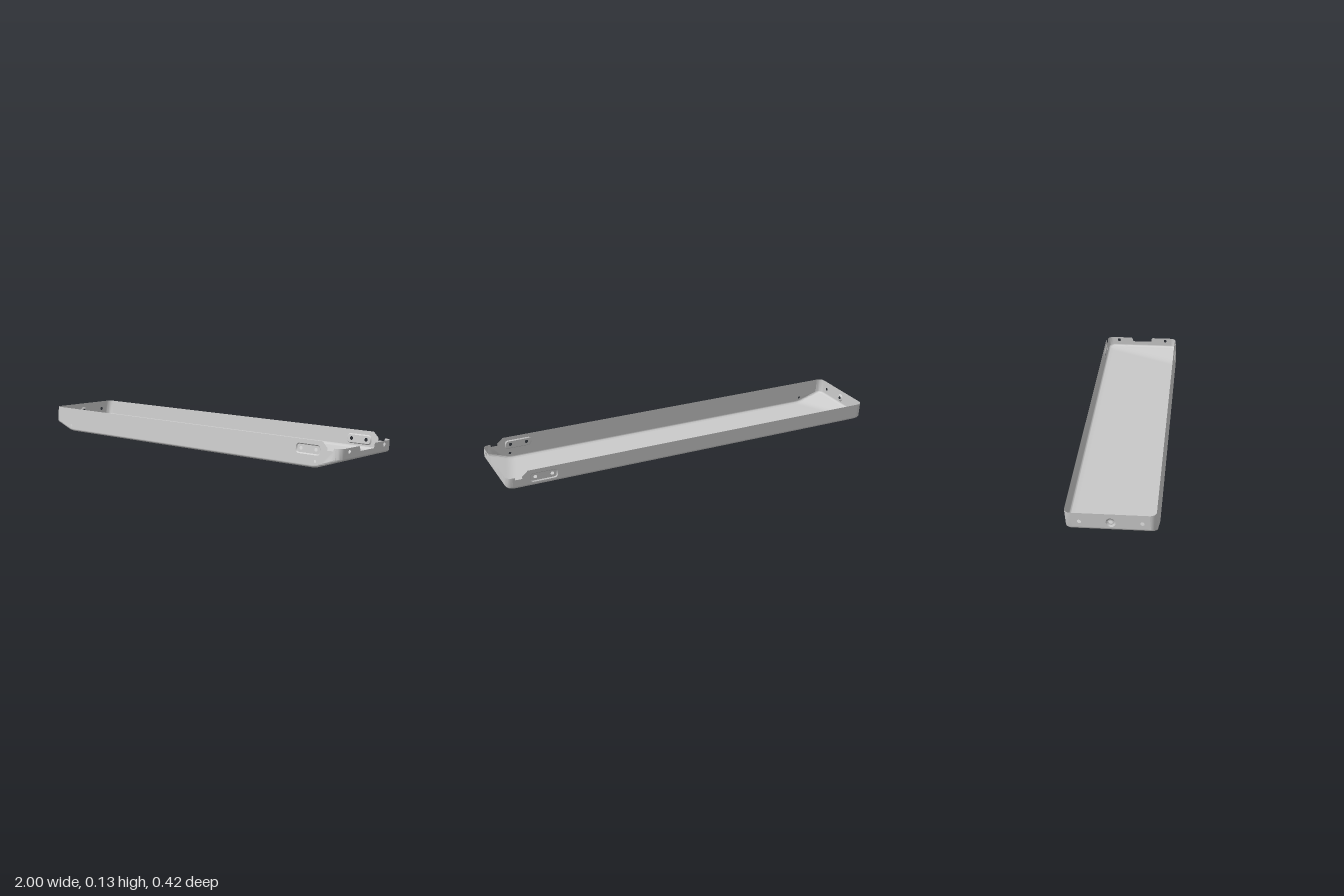
import * as THREE from 'three';
import { mergeGeometries, toCreasedNormals } from 'three/addons/utils/BufferGeometryUtils.js';

const L = 1, W = 0.205;        // half length, half width
const R = 0.03, F = 0.012;     // plan corner radius, bottom fillet radius
const TOP = 0.126, LOW = 0.1;  // rim height, lowered rim at the notched end
const ARC = 6;

const material = new THREE.MeshStandardMaterial({ color: 0xcccccc, side: THREE.DoubleSide });

// The whole tray leans backwards
const lean = ([x, y, z]) => [x, y, z + 0.095 * (0.07 - y)];

// Floor height: sloping bottom blended with the end ramps
function floorY(x, z) {
  const a = 0.1 * (W - F - z), b = 0.34 * (Math.abs(x) - 0.86), k = 0.008;
  const h = Math.max(k - Math.abs(a - b), 0) / k;
  return Math.max(a, b) + h * h * k / 4;
}

// Surface through rows of points
function loft(rows) {
  const n = rows[0].length, index = [];
  for (let i = 0; i < rows.length - 1; i++)
    for (let j = 0; j < n - 1; j++) {
      const a = i * n + j, b = a + n;
      index.push(a, b, a + 1, b, b + 1, a + 1);
    }
  const g = new THREE.BufferGeometry();
  g.setAttribute('position', new THREE.Float32BufferAttribute(rows.flat(2), 3));
  g.setIndex(index);
  return g;
}

// Regular polygon, optionally stretched into a rounded rectangle
function ngon(cx, cy, r, n = 20, ex = 0, ey = 0) {
  return Array.from({ length: n }, (_, i) => {
    const a = (i + 0.5) / n * Math.PI * 2, c = Math.cos(a), s = Math.sin(a);
    return new THREE.Vector2(cx + r * c + Math.sign(c) * ex, cy + r * s + Math.sign(s) * ey);
  });
}

// Flat sheet with holes, put in place by a mapping (a, b, depth) -> [x, y, z]
function sheet(points, holes, map, depth = 0) {
  const shape = new THREE.Shape(points);
  shape.holes = holes.map(h => new THREE.Path(h));
  const g = new THREE.ShapeGeometry(shape), p = g.attributes.position;
  for (let i = 0; i < p.count; i++) p.setXYZ(i, ...lean(map(p.getX(i), p.getY(i), depth)));
  g.deleteAttribute('uv');
  g.deleteAttribute('normal');
  return g;
}

// Recess pressed into a wall: sloped rim plus a pierced bottom
function recess(outer, inner, holes, map, depth) {
  const ring = (pts, d) => [...pts, pts[0]].map(p => lean(map(p.x, p.y, d)));
  return mergeGeometries([
    loft([ring(outer, 0), ring(inner, depth)]),
    sheet(inner, holes, map, depth)
  ]);
}

// Lengthwise stations, dense at the ramps
const stations = [];
for (let i = 0; i <= 16; i++) stations.push(0.82 + (L - R - 0.82) * i / 16);
const sideX = [...stations.map(x => -x).reverse(), ...stations];
const endZ = Array.from({ length: 25 }, (_, i) => (W - R) * (i / 12 - 1));

// Perimeter as corner or side centre points with an outward direction
function cornerRun(sx, sz) {
  return Array.from({ length: ARC + 1 }, (_, j) => {
    const a = j / ARC * Math.PI / 2;
    return { x: sx * (L - R), z: sz * (W - R), nx: sx * Math.sin(a), nz: sz * Math.cos(a) };
  });
}
const at = (p, inset) => [p.x + (R - inset) * p.nx, p.z + (R - inset) * p.nz];
const wallBase = p => floorY(...at(p, F)) + F;

// Quarter-round bend between floor and walls
function fillet(run) {
  return loft(Array.from({ length: 7 }, (_, k) => {
    const a = k / 6 * Math.PI / 2;
    return run.map(p => {
      const [x, z] = at(p, F * (1 - Math.sin(a)));
      return lean([x, wallBase(p) - F * Math.cos(a), z]);
    });
  }));
}

export function createModel() {
  const group = new THREE.Group();
  const add = (name, geometry) => {
    const mesh = new THREE.Mesh(toCreasedNormals(geometry, 0.6), material);
    mesh.name = name;
    group.add(mesh);
  };

  const sideRun = s => sideX.map(x => ({ x, z: s * (W - R), nx: 0, nz: s }));
  const endRun = s => endZ.map(z => ({ x: s * (L - R), z, nx: s, nz: 0 }));
  const base = [];

  // Floor, narrowing through the rounded corners
  const span = sideX.map(x => [x, W - F]);
  for (let j = 1; j <= ARC; j++) {
    const a = j / ARC * Math.PI / 2;
    const x = L - R + (R - F) * Math.sin(a), w = W - R + (R - F) * Math.cos(a);
    span.push([x, w]);
    span.unshift([-x, w]);
  }
  base.push(loft(span.map(([x, w]) => endZ.map(e => {
    const z = e / (W - R) * w;
    return lean([x, floorY(x, z), z]);
  }))));

  // Bottom bends and upright rounded corners
  for (const s of [-1, 1]) {
    base.push(fillet(sideRun(s)), fillet(endRun(s)));
    for (const t of [-1, 1]) {
      const run = cornerRun(s, t), top = s > 0 ? LOW : TOP;
      base.push(fillet(run));
      base.push(loft([wallBase, () => top].map(y => run.map(p => {
        const [x, z] = at(p, 0);
        return lean([x, y(p), z]);
      }))));
    }
  }
  add('floorAndCorners', mergeGeometries(base));

  const v = (x, y) => new THREE.Vector2(x, y);

  // Long walls with a stepped slot and a pressed fixing pad near one end
  for (const s of [1, -1]) {
    const name = s > 0 ? 'front' : 'back';
    const map = (a, b, d) => [a, b, s * (W - d)];
    const outline = sideRun(s).map(p => v(p.x, wallBase(p)));
    outline.push(v(0.97, LOW), v(0.96, LOW), v(0.957, 0.087), v(0.922, 0.087),
      v(0.925, 0.098), v(0.895, TOP), v(-0.97, TOP));
    const pad = ngon(0.815, 0.082, 0.018, 20, 0.052, 0.006);
    const padInner = ngon(0.815, 0.082, 0.013, 20, 0.052, 0.006);
    const holes = [pad];
    if (s > 0) for (const x of [-0.86, 0.86]) holes.push(ngon(x, 0.031, 0.007, 12));
    add(name + 'Wall', sheet(outline, holes, map));
    add(name + 'FixingPad', recess(pad, padInner,
      [0.772, 0.857].map(x => ngon(x, 0.083, 0.009, 16)), map, 0.005));
  }

  // End walls: the left one low with a wide notch, the right one full height
  for (const s of [1, -1]) {
    const map = (a, b, d) => [s * (L - d), b, a];
    const outline = endRun(s).map(p => v(p.z, wallBase(p)));
    const holes = [-0.14, 0.14].map(z => ngon(z, 0.083, 0.009));
    if (s > 0) {
      outline.push(v(0.175, LOW), v(0.065, LOW), v(0.059, 0.096), v(0.056, 0.08), v(0.051, 0.076),
        v(-0.051, 0.076), v(-0.056, 0.08), v(-0.059, 0.096), v(-0.065, LOW), v(-0.175, LOW));
    } else {
      outline.push(v(0.175, TOP), v(-0.175, TOP));
      // Dimple with a six-sided hole
      const dimple = ngon(0, 0.083, 0.022, 24);
      holes.push(dimple);
      add('rightDimple', recess(dimple, ngon(0, 0.083, 0.014, 24), [ngon(0, 0.083, 0.01, 6)], map, 0.005));
    }
    add(s > 0 ? 'leftEndWall' : 'rightEndWall', sheet(outline, holes, map));
  }
  return group;
}
